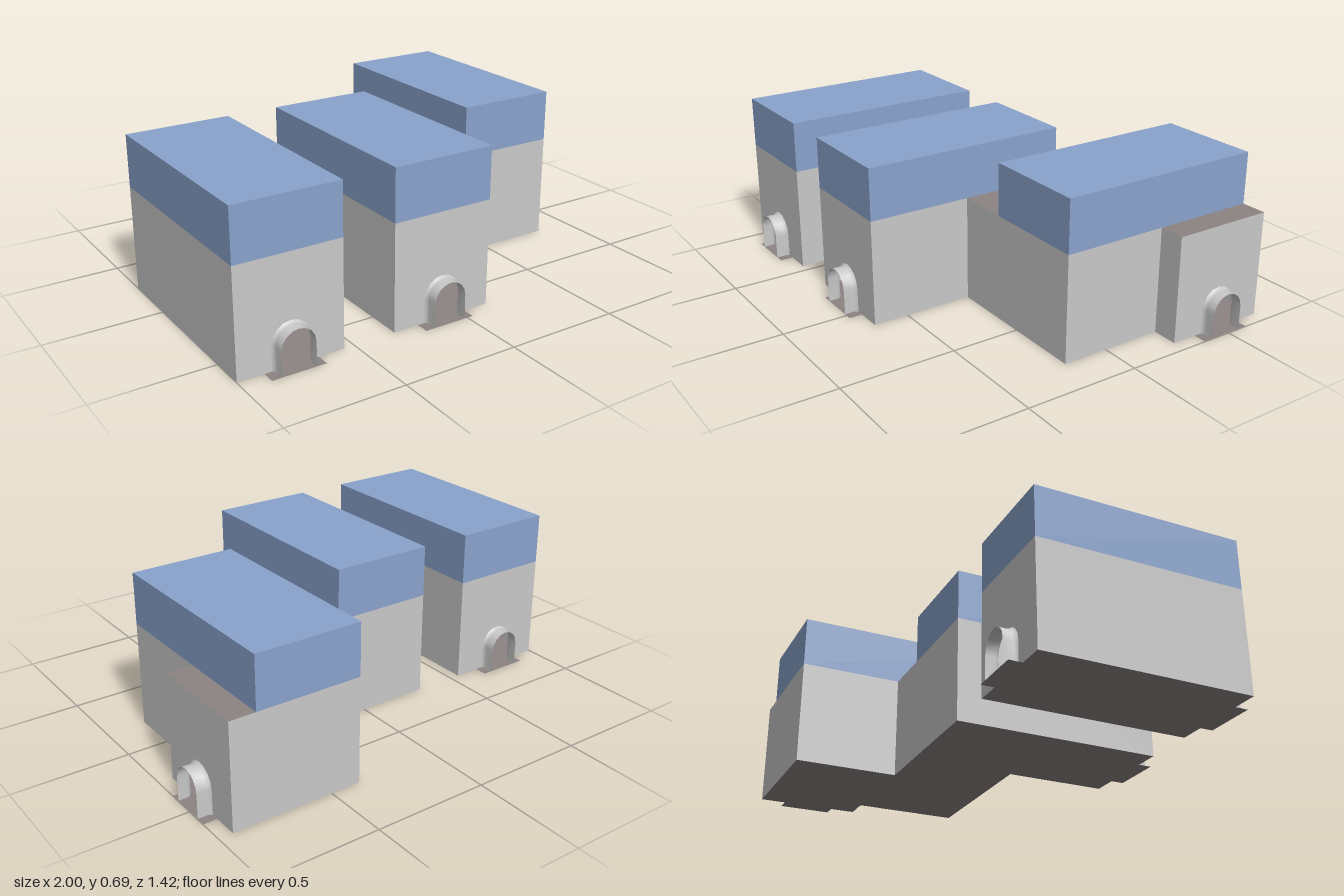
import * as THREE from 'three';

const WALL_H = 0.46, ROOF_TOP = 0.685, SPRING = 0.105, PORCH = 0.058;
const DOOR_R = 0.083;

const mat = (name, color) => {
  const m = new THREE.MeshStandardMaterial({ color, side: THREE.DoubleSide });
  m.name = name;
  return m;
};

// Arch outline from left foot over the top to right foot
function archPoints(r, segments = 8) {
  const pts = [[-r, 0]];
  for (let i = 0; i <= segments; i++) {
    const a = Math.PI * (1 - i / segments);
    pts.push([r * Math.cos(a), SPRING + r * Math.sin(a)]);
  }
  pts.push([r, 0]);
  return pts;
}

// Arched porch: thin shell flaring out where it meets the wall
function porchGeometry() {
  const rows = [[0, DOOR_R], [0.006, 0.077], [0.016, 0.073], [PORCH, 0.073]];
  const pos = [], idx = [];
  const n = archPoints(1).length;
  rows.forEach(([z, r], i) => {
    archPoints(r).forEach(([x, y], j) => {
      pos.push(x, y, z);
      if (i < rows.length - 1 && j < n - 1) {
        const a = i * n + j, b = a + 1, c = a + n, d = c + 1;
        idx.push(a, c, b, b, c, d);
      }
    });
  });
  const g = new THREE.BufferGeometry();
  g.setAttribute('position', new THREE.Float32BufferAttribute(pos, 3));
  g.setIndex(idx);
  g.computeVertexNormals();
  return g;
}

export function createModel() {
  const model = new THREE.Group();
  model.name = 'buildingGroup';
  const grey = mat('wallGrey', 0xc9c9c9);
  const blue = mat('upperBlue', 0x8aa3cc);
  const brown = mat('floorBrown', 0x8b8481);

  const add = (parent, name, geo, material) => {
    const m = new THREE.Mesh(geo, material);
    m.name = name;
    parent.add(m);
    return m;
  };

  // Horizontal panel spanning a rectangle
  const panel = (parent, name, x0, x1, z0, z1, y) => {
    const m = add(parent, name, new THREE.PlaneGeometry(x1 - x0, z1 - z0).rotateX(-Math.PI / 2), brown);
    m.position.set((x0 + x1) / 2, y, (z0 + z1) / 2);
  };

  // Hollow ground storey: one wall per footprint edge, with arched doorways
  const storey = (name, corners, doors) => {
    const group = new THREE.Group();
    group.name = name;
    model.add(group);
    corners.forEach(([x0, z0], i) => {
      const [x1, z1] = corners[(i + 1) % corners.length];
      const half = Math.hypot(x1 - x0, z1 - z0) / 2;
      const side = new THREE.Group();
      side.name = 'wallSide';
      side.position.set((x0 + x1) / 2, 0, (z0 + z1) / 2);
      side.rotation.y = Math.atan2(z0 - z1, x1 - x0);
      group.add(side);
      const hasDoor = doors.includes(i);
      const outline = [[half, 0], [half, WALL_H], [-half, WALL_H], [-half, 0]];
      if (hasDoor) outline.push(...archPoints(DOOR_R));
      const shape = new THREE.Shape(outline.map(([x, y]) => new THREE.Vector2(x, y)));
      add(side, 'wall', new THREE.ShapeGeometry(shape), grey);
      if (hasDoor) {
        add(side, 'archedPorch', porchGeometry(), grey);
        panel(side, 'doorstep', -0.115, 0.115, 0, PORCH, 0);
      }
    });
    // Floor follows the footprint
    const plan = new THREE.Shape(corners.map(([x, z]) => new THREE.Vector2(x, -z)));
    add(group, 'floor', new THREE.ShapeGeometry(plan).rotateX(-Math.PI / 2), brown);
  };

  storey('detachedBlock', [[-1, 0.655], [-0.545, 0.655], [-0.545, -0.26], [-1, -0.26]], [0, 2]);
  storey('joinedBlocks', [
    [-0.315, 0.655], [0.14, 0.655], [0.14, 0.2], [0.827, 0.2], [0.827, -0.26],
    [0.94, -0.26], [0.94, -0.71], [0.37, -0.71], [0.37, -0.26], [-0.315, -0.26],
  ], [0, 5]);

  // Flat roofs over the low links
  panel(model, 'linkRoof', 0.14, 0.37, -0.26, 0.2, WALL_H);
  panel(model, 'annexRoof', 0.827, 0.94, -0.71, -0.26, WALL_H);

  // Upper storeys
  const h = ROOF_TOP - WALL_H;
  [[-1, -0.545, -0.26, 0.655], [-0.315, 0.14, -0.26, 0.655], [0.37, 0.827, -0.71, 0.2]].forEach(([x0, x1, z0, z1]) => {
    const m = add(model, 'upperStorey', new THREE.BoxGeometry(x1 - x0, h, z1 - z0), blue);
    m.position.set((x0 + x1) / 2, WALL_H + h / 2, (z0 + z1) / 2);
  });

  return model;
}
